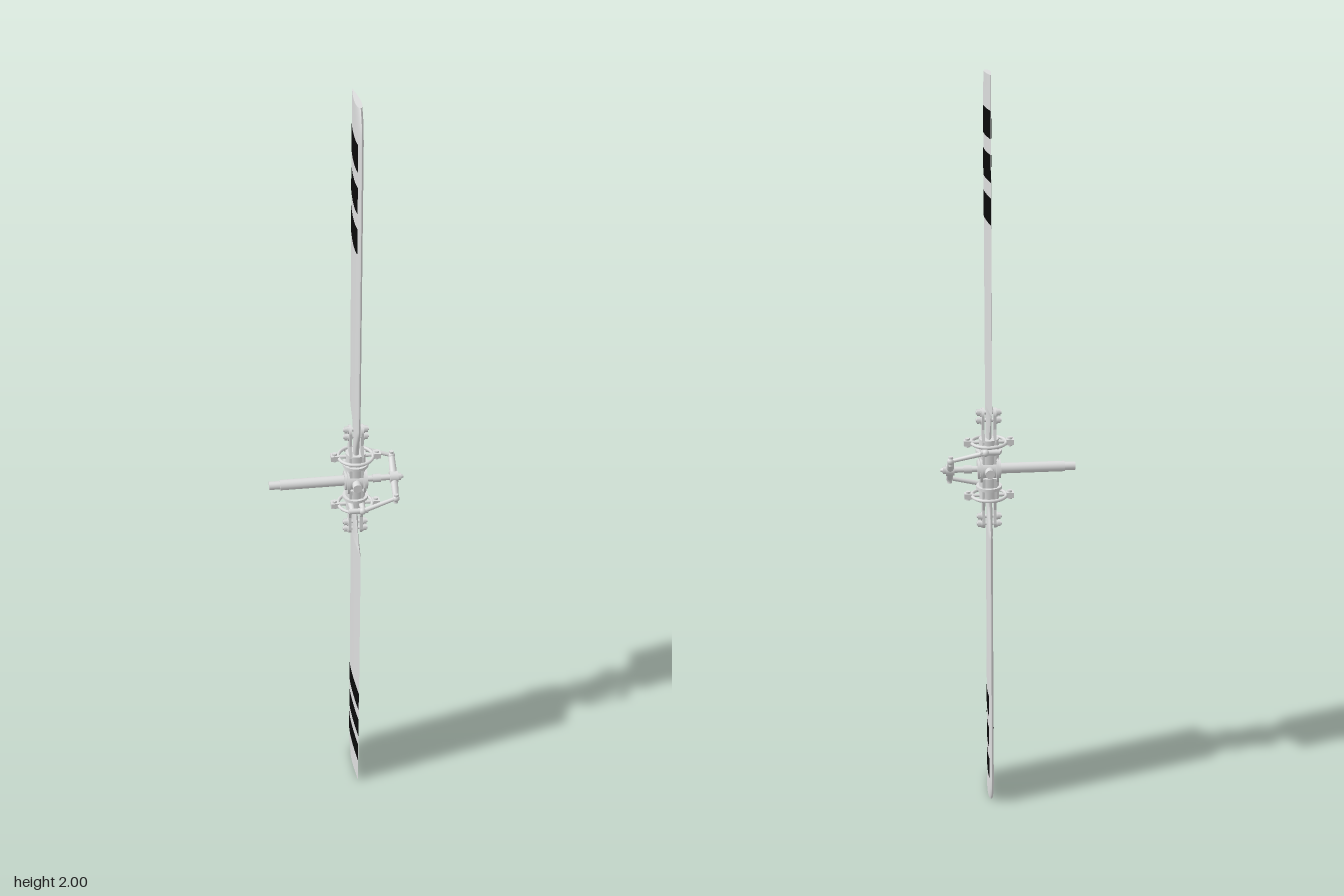
import * as THREE from 'three';

const grey = new THREE.MeshStandardMaterial({ color: 0xdcdddd });
grey.name = 'light grey';
const black = new THREE.MeshStandardMaterial({ color: 0x0a0a0a });
black.name = 'stripe black';

const V = (x, y, z) => new THREE.Vector3(x, y, z);
const UP = V(0, 1, 0);

function add(parent, name, geo, mat, x = 0, y = 0, z = 0) {
  const m = new THREE.Mesh(geo, mat);
  m.name = name;
  m.position.set(x, y, z);
  parent.add(m);
  return m;
}
// cylinder between two points
function rod(parent, name, a, b, r0, r1 = r0, sides = 20) {
  const d = b.clone().sub(a);
  const m = add(parent, name, new THREE.CylinderGeometry(r1, r0, d.length(), sides), grey);
  m.position.copy(a).addScaledVector(d, 0.5);
  m.quaternion.setFromUnitVectors(UP, d.normalize());
}

// regular surface patch from fn(i, j)
function grid(ni, nj, fn, flip) {
  const pos = [], idx = [];
  for (let i = 0; i <= ni; i++) for (let j = 0; j <= nj; j++) pos.push(...fn(i, j));
  for (let i = 0; i < ni; i++) for (let j = 0; j < nj; j++) {
    const a = i * (nj + 1) + j, b = a + 1, c = a + nj + 1, d = c + 1;
    idx.push(...(flip ? [a, c, b, b, c, d] : [a, b, c, b, d, c]));
  }
  const g = new THREE.BufferGeometry();
  g.setAttribute('position', new THREE.Float32BufferAttribute(pos, 3));
  g.setIndex(idx);
  g.computeVertexNormals();
  return g;
}

// airfoil half thickness along the chord, u = 0 at the leading edge
const foil = (u) => 0.075 * Math.max(0,
  0.2969 * Math.sqrt(u) - 0.126 * u - 0.3516 * u * u + 0.2843 * u ** 3 - 0.1036 * u ** 4);

// blade stations: [radius, leading z, trailing z]
const stations = [
  [0.05, 0.014, -0.014], [0.09, 0.016, -0.018], [0.115, 0.028, -0.035],
  [0.14, 0.040, -0.053], [0.16, 0.050, -0.065], [0.172, 0.055, -0.082],
  [0.18, 0.055, -0.107], [0.4, 0.055, -0.107], [0.92, 0.055, -0.107],
  [0.95, 0.052, -0.107], [0.975, 0.043, -0.107], [1.0, 0.026, -0.107],
];
const NJ = 16;
const chord = (j, u0) => u0 + (1 - u0) * (1 - Math.cos(Math.PI * j / NJ)) / 2;

// one side of the blade (s = 1 faces +x, s = -1 faces -x)
function skin(rows, u0, s, lift) {
  return grid(rows.length - 1, NJ, (i, j) => {
    const [y, zl, zt] = rows[i];
    const u = chord(j, u0);
    return [s * (foil(u) + lift), y, zl + (zt - zl) * u];
  }, s < 0);
}

function makeBlade(parent) {
  const g = new THREE.Group();
  g.name = 'blade';
  parent.add(g);
  for (const s of [1, -1]) {
    add(g, 'bladeSkin', skin(stations, 0, s, 0), grey);
    for (const y of [0.657, 0.757, 0.857]) {
      const rows = [[y, 0.055, -0.1075], [y + 0.064, 0.055, -0.1075]];
      add(g, 'stripe', skin(rows, 0.1, s, 0.0006), black);
    }
  }
  // closing face at the tip
  const [ty, tl, tt] = stations[stations.length - 1];
  add(g, 'bladeTip', grid(1, NJ, (i, j) => {
    const u = chord(j, 0);
    return [(i ? 1 : -1) * foil(u), ty, tl + (tt - tl) * u];
  }, true), grey);
}

// rounded strap outline in the blade plane
function strapGeometry() {
  const s = new THREE.Shape();
  s.moveTo(-0.024, 0.02);
  s.lineTo(0.024, 0.02);
  s.lineTo(0.022, 0.08);
  s.lineTo(0.014, 0.112);
  s.lineTo(0.017, 0.15);
  s.absarc(0, 0.15, 0.017, 0, Math.PI);
  s.lineTo(-0.014, 0.112);
  s.lineTo(-0.022, 0.08);
  const g = new THREE.ExtrudeGeometry(s, { depth: 0.007, bevelEnabled: false, curveSegments: 10 });
  g.translate(0, 0, -0.0035);
  g.rotateY(Math.PI / 2);
  return g;
}

function bolt(parent, y, half) {
  rod(parent, 'boltShank', V(-half, y, 0), V(half, y, 0), 0.005);
  for (const s of [1, -1]) {
    rod(parent, 'washer', V(s * 0.019, y, 0), V(s * 0.022, y, 0), 0.011);
    rod(parent, 'nut', V(s * 0.022, y, 0), V(s * (half - 0.003), y, 0), 0.009, 0.009, 6);
  }
}

function makeArm() {
  const arm = new THREE.Group();
  arm.name = 'rotorArm';
  makeBlade(arm);

  // blade grip
  for (const s of [1, -1]) add(arm, 'gripStrap', strapGeometry(), grey, s * 0.015);
  bolt(arm, 0.134, 0.033);
  bolt(arm, 0.155, 0.033);
  rod(arm, 'gripBearing', V(0, 0.02, 0), V(0, 0.085, 0), 0.026);
  rod(arm, 'bearingFlange', V(0, 0.046, 0), V(0, 0.054, 0), 0.034);

  // clamp ring with lugs on both sides
  add(arm, 'clampRing', new THREE.TorusGeometry(0.045, 0.0045, 10, 40).rotateX(Math.PI / 2), grey, 0, 0.074, 0);
  for (const s of [1, -1]) {
    add(arm, 'clampLug', new THREE.BoxGeometry(0.02, 0.014, 0.02), grey, s * 0.055, 0.074, 0);
    rod(arm, 'lugBolt', V(s * 0.055, 0.062, 0), V(s * 0.055, 0.086, 0), 0.006);
    rod(arm, 'clampSpoke', V(s * 0.02, 0.074, 0), V(s * 0.048, 0.074, 0), 0.005);
    rod(arm, 'hornArm', V(s * 0.014, 0.064, -0.015), V(s * 0.014, 0.064, -0.052), 0.009, 0.006);
  }

  // pitch horn pin on the trailing side and its link to the crosshead
  rod(arm, 'hornPin', V(-0.024, 0.064, -0.052), V(0.026, 0.064, -0.052), 0.007);
  const a = V(0.012, 0.064, -0.054), b = V(0.101, 0.04, -0.042);
  rod(arm, 'pitchLink', a, b, 0.0065, 0.005);
  for (const p of [a, b]) add(arm, 'linkBall', new THREE.SphereGeometry(0.0095, 16, 12), grey, p.x, p.y, p.z);
  rod(arm, 'linkPin', V(0.101, 0.027, -0.042), V(0.101, 0.053, -0.042), 0.006);
  rod(arm, 'crossheadArm', V(0.101, 0, 0), b, 0.0105, 0.008);
  return arm;
}

export function createModel() {
  const model = new THREE.Group();
  model.name = 'tailRotor';
  const rotor = new THREE.Group();
  rotor.name = 'rotor';
  rotor.position.set(0.05, 1, 0);
  model.add(rotor);

  // two opposite arms
  for (let i = 0; i < 2; i++) {
    const arm = makeArm();
    arm.rotation.x = i * Math.PI;
    rotor.add(arm);
  }

  // drive shaft, hub discs and control spindle: [name, x start, x end, radius]
  const turned = [
    ['shaftTip', -0.226, -0.195, 0.011],
    ['driveShaft', -0.198, -0.02, 0.0138],
    ['hubBody', -0.03, 0.03, 0.026],
    ['hubDisc', -0.024, -0.018, 0.036],
    ['hubDisc', 0.018, 0.024, 0.036],
    ['controlSpindle', 0.02, 0.12, 0.008],
    ['spindleCollar', 0.045, 0.066, 0.011],
    ['crossheadHub', 0.09, 0.112, 0.015],
  ];
  for (const [name, x0, x1, r] of turned) rod(rotor, name, V(x0, 0, 0), V(x1, 0, 0), r, r, 28);
  rod(rotor, 'spindleNut', V(0.112, 0, 0), V(0.12, 0, 0), 0.01, 0.01, 6);
  rod(rotor, 'spindleEnd', V(0.12, 0, 0), V(0.126, 0, 0), 0.006, 0.004);
  // hinge pin through the hub
  rod(rotor, 'hingePin', V(0, 0, -0.045), V(0, 0, 0.045), 0.012);
  return model;
}
